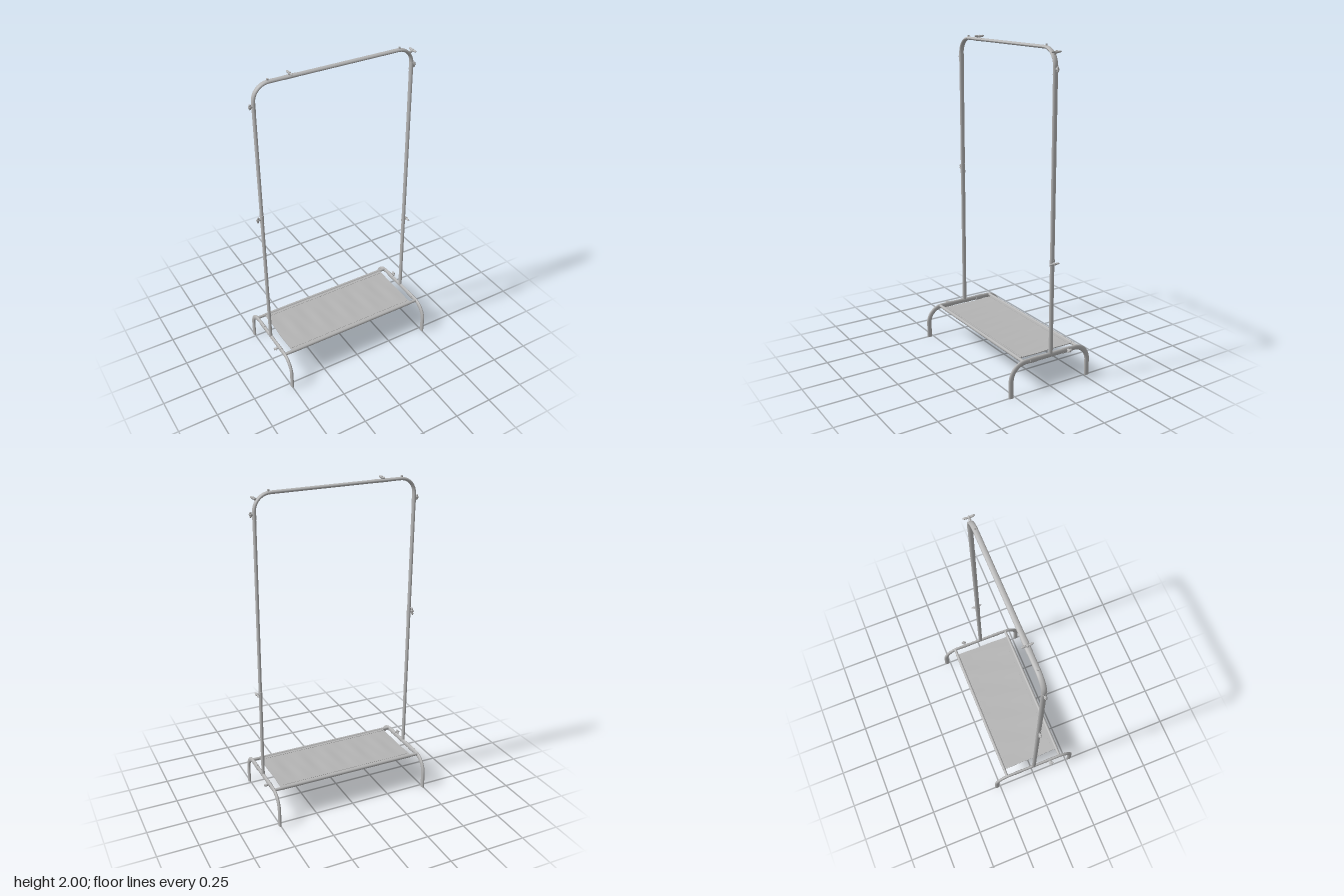
import * as THREE from 'three';

const metal = new THREE.MeshStandardMaterial({ color: 0xb6b6b6 });
metal.name = 'grey';
const fabric = new THREE.MeshStandardMaterial({ color: 0xb4b4b4 });
fabric.name = 'fabric grey';

const V = (x, y, z = 0) => new THREE.Vector3(x, y, z);

function add(parent, name, geometry, material = metal) {
  const mesh = new THREE.Mesh(geometry, material);
  mesh.name = name;
  parent.add(mesh);
  return mesh;
}

// Path of straight runs joined by rounded corners: a, corner, b
function roundedPath(points, radius) {
  const path = new THREE.CurvePath();
  let from = points[0];
  const k = 0.448; // handle share giving a near-circular bend
  for (let i = 1; i < points.length - 1; i++) {
    const c = points[i];
    const a = c.clone().add(points[i - 1].clone().sub(c).setLength(radius));
    const b = c.clone().add(points[i + 1].clone().sub(c).setLength(radius));
    path.add(new THREE.LineCurve3(from, a));
    path.add(new THREE.CubicBezierCurve3(a, a.clone().lerp(c, 1 - k), b.clone().lerp(c, 1 - k), b));
    from = b;
  }
  path.add(new THREE.LineCurve3(from, points[points.length - 1]));
  return path;
}

// Moves every vertex by a rule, then refreshes the normals
function bend(geometry, rule) {
  const p = geometry.attributes.position;
  const v = new THREE.Vector3();
  for (let i = 0; i < p.count; i++) {
    rule(v.fromBufferAttribute(p, i));
    p.setXYZ(i, v.x, v.y, v.z);
  }
  geometry.computeVertexNormals();
  return geometry;
}

// Wing screw pointing along +y, wings along z
function wingScrew(parent, name, position, direction, span, length, spin = 0) {
  const g = new THREE.Group();
  g.name = name;
  const stem = add(g, 'screwStem', new THREE.CylinderGeometry(0.006, 0.008, length, 12));
  stem.position.y = length / 2;
  const hub = add(g, 'screwHub', new THREE.SphereGeometry(0.009, 12, 8));
  hub.position.y = length * 0.65;
  for (const s of [-1, 1]) {
    const wing = add(g, 'screwWing', new THREE.SphereGeometry(1, 12, 8));
    wing.scale.set(0.006, 0.007, span / 4);
    wing.position.set(0, length * 0.7, s * span / 4);
    wing.rotation.x = -s * 0.12;
  }
  g.quaternion.setFromUnitVectors(V(0, 1, 0), direction.clone().normalize());
  g.rotateY(spin);
  g.position.copy(position);
  parent.add(g);
}

export function createModel() {
  const model = new THREE.Group();
  model.name = 'garmentRack';

  // Hanging frame: two posts and top rail, a flat oval tube
  const frameRule = (v) => {
    v.z = v.z * (1.35 + 0.12 * v.y) - 0.004 * v.y;
  };
  const framePath = roundedPath(
    [V(-0.500, 0.205), V(-0.509, 1.975), V(0.494, 1.966), V(0.502, 0.205)], 0.095);
  add(model, 'hangingFrame', bend(new THREE.TubeGeometry(framePath, 240, 0.0098, 16), frameRule));

  // Sleeves where the frame sections slot together
  const sleeves = [[-0.5045, 1.13, 0.06], [0.4995, 0.765, 0.04], [-0.5083, 1.85, 0.05], [0.4945, 1.85, 0.05]];
  for (const [x, y, h] of sleeves) {
    const sleeve = add(model, 'postSleeve', new THREE.CylinderGeometry(0.0108, 0.0108, h, 16));
    sleeve.scale.z = 1.5;
    sleeve.position.set(x, y, -0.004 * y);
  }
  const railSleeve = add(model, 'railSleeve', new THREE.CylinderGeometry(0.0105, 0.0105, 0.08, 16));
  railSleeve.rotation.z = Math.PI / 2;
  railSleeve.scale.z = 1.6;
  railSleeve.position.set(-0.285, 1.973, -0.008);

  // Arched feet on both sides
  for (const x of [-0.498, 0.503]) {
    const side = new THREE.Group();
    side.name = x < 0 ? 'rightFoot' : 'leftFoot';
    side.position.x = x;
    side.scale.x = 0.56;
    model.add(side);
    const path = roundedPath([V(0, 0, 0.276), V(0, 0.203, 0.276), V(0, 0.203, -0.272), V(0, 0, -0.272)], 0.1);
    add(side, 'archedTube', new THREE.TubeGeometry(path, 110, 0.0162, 16));
    for (const z of [0.276, -0.272]) {
      const cap = add(side, 'footCap', new THREE.CircleGeometry(0.0162, 16));
      cap.rotation.x = Math.PI / 2;
      cap.position.set(0, 0.001, z);
    }
    for (const z of [0.12, -0.115]) {
      const collar = add(side, 'footCollar', new THREE.CylinderGeometry(0.018, 0.018, 0.055, 16));
      collar.rotation.x = Math.PI / 2;
      collar.position.set(0, 0.203, z);
    }
  }

  // Shelf rails
  const rails = [-0.196, 0.192];
  for (const z of rails) {
    const rail = add(model, 'shelfRail', new THREE.CylinderGeometry(0.0095, 0.0095, 1.0, 16));
    rail.rotation.z = Math.PI / 2;
    rail.position.set(0.0025, 0.206, z);
    const pocket = add(model, 'shelfPocket', new THREE.CylinderGeometry(0.0108, 0.0108, 0.9, 16), fabric);
    pocket.rotation.z = Math.PI / 2;
    pocket.position.set(0.005, 0.206, z);
    // Stitched hem beside the pocket
    const hem = add(model, 'shelfHem', new THREE.BoxGeometry(0.88, 0.003, 0.006), fabric);
    hem.position.set(0.005, 0.2105, z - Math.sign(z) * 0.026);
  }

  // Fabric shelf with faint creases and a little sag
  const cloth = bend(new THREE.BoxGeometry(0.9, 0.005, 0.39, 60, 1, 16), (v) => {
    const t = 1 - (v.z / 0.195) ** 2;
    v.y += t * (0.0012 * Math.sin(v.x * 34 + v.z * 6) + 0.0008 * Math.sin(v.x * 71 - v.z * 9) - 0.002);
    v.x += 0.003 * Math.sin(v.z * 30) * v.x;
  });
  add(model, 'fabricShelf', cloth, fabric).position.set(0.005, 0.2085, -0.002);

  // Wing screws at the joints
  const left = V(1, 0, 0), right = V(-1, 0, 0), up = V(0, 1, 0);
  wingScrew(model, 'railScrew', V(-0.29, 1.977, -0.008), up, 0.07, 0.022);
  wingScrew(model, 'cornerScrew', V(0.483, 1.937, -0.008), V(1, 0.6, 0), 0.07, 0.026);
  wingScrew(model, 'upperRightScrew', V(-0.51, 1.855, -0.007), right, 0.034, 0.027, Math.PI / 2);
  wingScrew(model, 'upperLeftScrew', V(0.496, 1.855, -0.007), left, 0.034, 0.027, Math.PI / 2);
  wingScrew(model, 'middleRightScrew', V(-0.505, 1.13, -0.004), right, 0.05, 0.034, 1.3);
  wingScrew(model, 'middleLeftScrew', V(0.499, 0.765, -0.003), left, 0.07, 0.03);
  wingScrew(model, 'rightFootScrew', V(-0.5, 0.205, 0.118), right, 0.035, 0.036, 0.4);
  wingScrew(model, 'leftFootScrew', V(0.503, 0.205, -0.12), left, 0.035, 0.036, 0.4);

  // Spring pins on the top rail
  for (const [x, y] of [[-0.42, 1.98], [0.408, 1.973]]) {
    const pin = add(model, 'springPin', new THREE.CylinderGeometry(0.006, 0.007, 0.024, 12));
    pin.position.set(x, y, -0.008);
  }
  return model;
}
